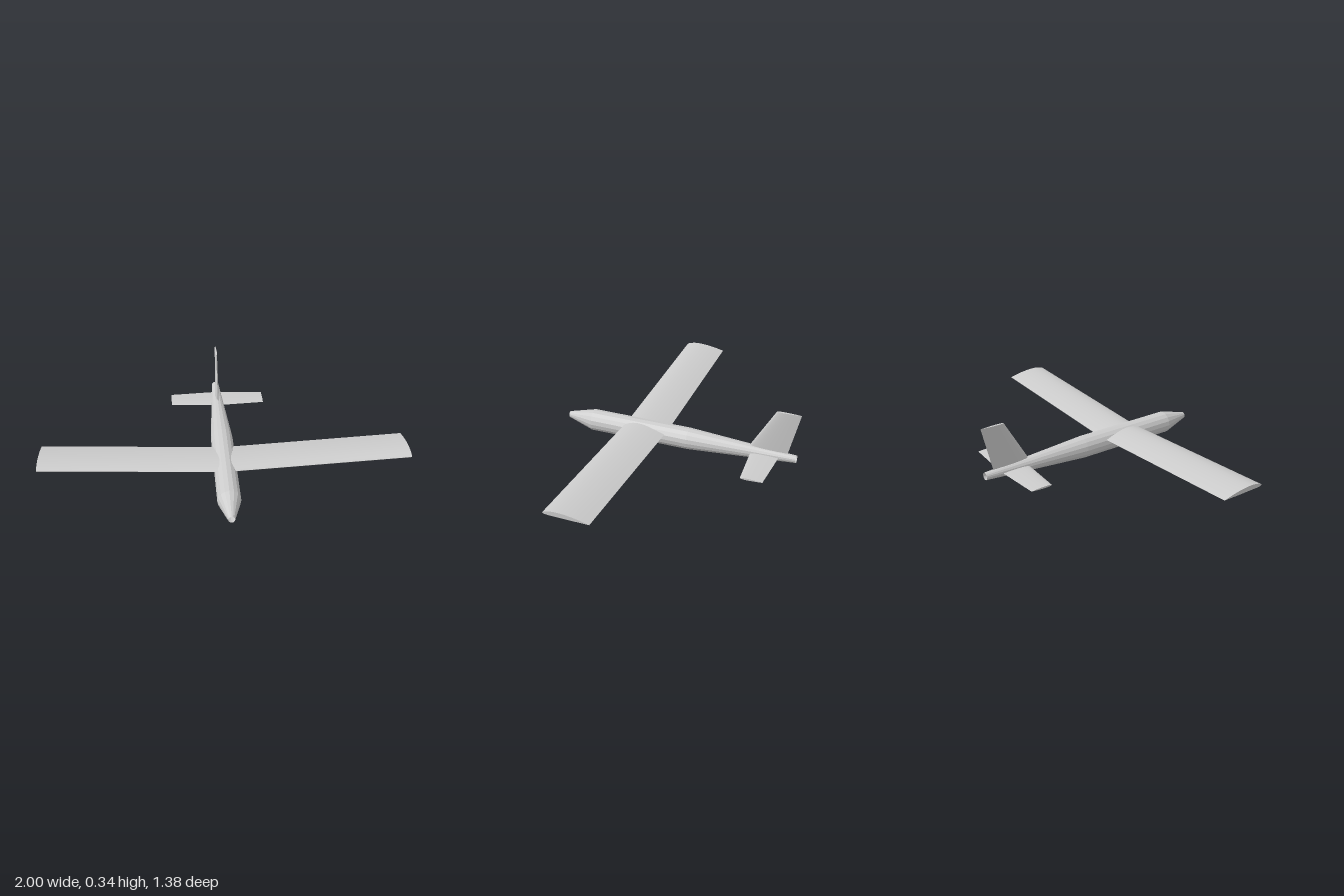
import * as THREE from 'three';
import { toCreasedNormals } from 'three/addons/utils/BufferGeometryUtils.js';

// Aerofoil outlines as [chord fraction, height / chord], trailing edge over the top and back
const FLAT_BOTTOM = [[1, 0.002], [0.9, 0.027], [0.8, 0.05], [0.7, 0.07], [0.6, 0.086], [0.5, 0.098],
  [0.4, 0.106], [0.3, 0.108], [0.2, 0.102], [0.1, 0.082], [0.05, 0.065], [0.015, 0.048],
  [0, 0.034], [0.015, 0.018], [0.05, 0.008], [0.15, 0.001], [0.5, 0], [1, 0]];
const HALF = [[0.9, 0.12], [0.75, 0.27], [0.6, 0.39], [0.45, 0.47], [0.3, 0.5], [0.18, 0.46], [0.08, 0.34], [0.02, 0.18]];
const SYMMETRIC = [[1, 0], ...HALF, [0, 0], ...HALF.map(([c, t]) => [c, -t]).reverse()];

// Skins a row of sections, each a list of Vector3 running anticlockwise about the span
function loft(sections) {
  const pos = [];
  const n = sections[0].length;
  const tri = (...pts) => pts.forEach((p) => pos.push(p.x, p.y, p.z));
  for (let s = 0; s < sections.length - 1; s++) {
    for (let i = 0; i < n; i++) {
      const j = (i + 1) % n;
      const [a, b] = [sections[s], sections[s + 1]];
      tri(a[i], a[j], b[j]);
      tri(a[i], b[j], b[i]);
    }
  }
  const first = sections[0];
  const last = sections[sections.length - 1];
  for (let i = 1; i < n - 1; i++) {
    tri(last[0], last[i], last[i + 1]);
    tri(first[0], first[i + 1], first[i]);
  }
  const geo = new THREE.BufferGeometry();
  geo.setAttribute('position', new THREE.Float32BufferAttribute(pos, 3));
  return toCreasedNormals(geo, 0.6);
}

export function createModel() {
  const model = new THREE.Group();
  model.name = 'glider';
  const grey = new THREE.MeshStandardMaterial({ color: 0xcccccc, side: THREE.DoubleSide });
  grey.name = 'light grey';
  const add = (name, geo) => {
    const mesh = new THREE.Mesh(geo, grey);
    mesh.name = name;
    model.add(mesh);
  };

  // Sixteen-sided open tube: pointed nose, straight middle, tapered tail boom
  const rings = [[-0.68, 0.021, 0.066], [-0.06, 0.0625, 0.0625], [0.53, 0.0625, 0.0625], [0.69, 0.018, 0.067]];
  const sides = 16;
  const tube = [];
  for (let s = 0; s < rings.length - 1; s++) {
    for (let i = 0; i < sides; i++) {
      const at = ([z, r, y], k) => {
        const a = (k / sides) * Math.PI * 2;
        return [r * Math.cos(a), y + r * Math.sin(a), z];
      };
      const a = at(rings[s], i), b = at(rings[s], i + 1);
      const c = at(rings[s + 1], i + 1), d = at(rings[s + 1], i);
      tube.push(...a, ...b, ...c, ...a, ...c, ...d);
    }
  }
  const body = new THREE.BufferGeometry();
  body.setAttribute('position', new THREE.Float32BufferAttribute(tube, 3));
  body.computeVertexNormals();
  add('fuselage', body);

  // Straight main wing with dihedral
  add('wing', loft([-1, 0, 1].map((x) => FLAT_BOTTOM.map(([c, t]) =>
    new THREE.Vector3(x, 0.087 + 0.05 * Math.abs(x) + 0.25 * t, 0.32 - 0.25 * c)))));

  // Tapered tailplane: span, leading edge, trailing edge, thickness
  add('tailplane', loft([[-0.28, -0.445, -0.568, 0.01], [0, -0.425, -0.587, 0.013], [0.28, -0.445, -0.568, 0.01]]
    .map(([x, le, te, thick]) => SYMMETRIC.map(([c, t]) =>
      new THREE.Vector3(x, 0.066 + t * thick, le + (te - le) * c)))));

  // Swept fin: height, leading edge, trailing edge, thickness
  add('fin', loft([[0.066, -0.395, -0.624, 0.018], [0.34, -0.555, -0.69, 0.013]]
    .map(([y, le, te, thick]) => SYMMETRIC.map(([c, t]) =>
      new THREE.Vector3(-t * thick, y, le + (te - le) * c)))));

  return model;
}
